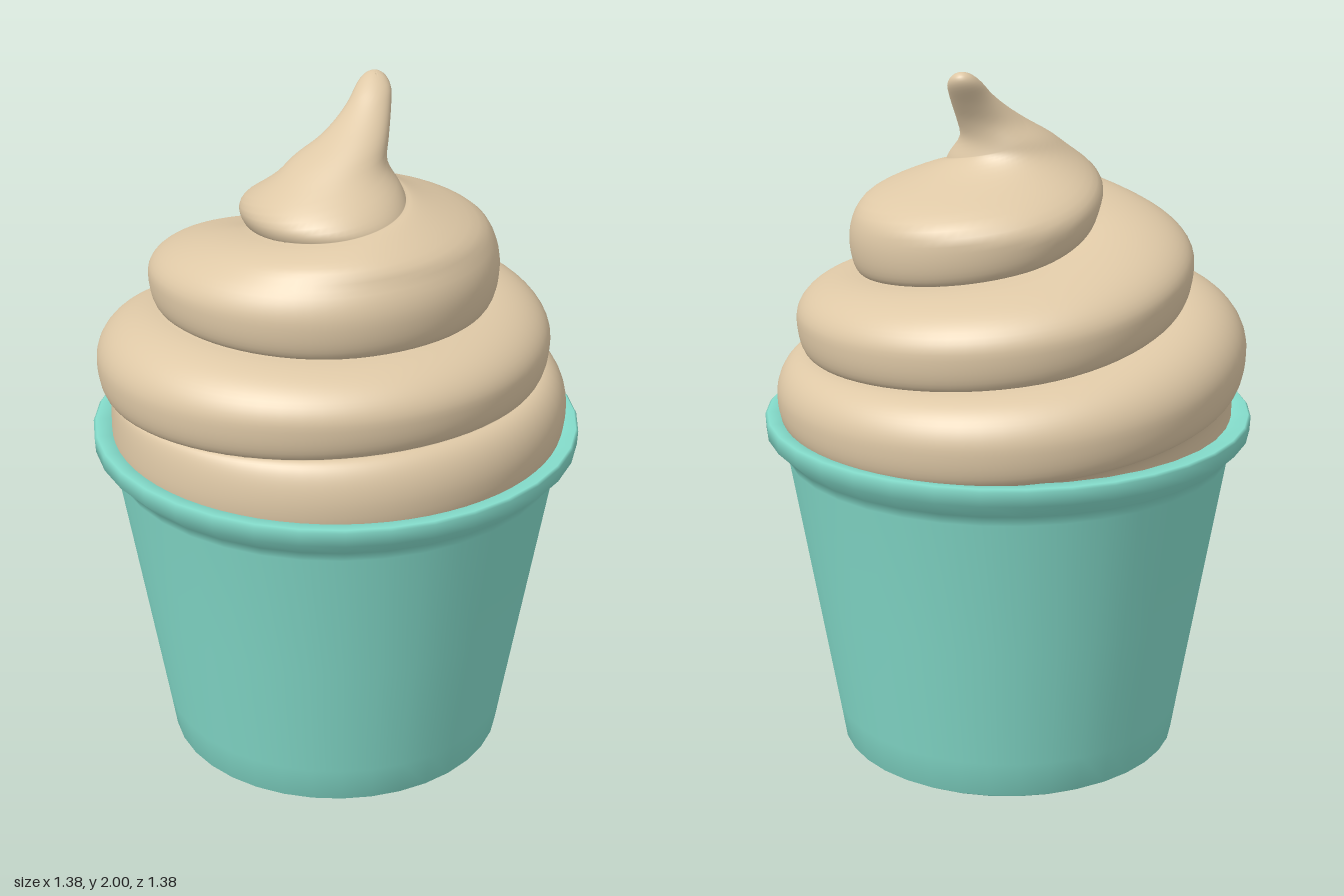
import * as THREE from 'three';

// Smooth value at fractional index t of an evenly spaced table
function sample(table, t) {
  const last = table.length - 1;
  t = THREE.MathUtils.clamp(t, 0, last);
  const i = Math.min(Math.floor(t), last - 1), f = t - i;
  const p = (k) => table[THREE.MathUtils.clamp(k, 0, last)];
  const a = p(i - 1), b = p(i), c = p(i + 1), d = p(i + 2);
  return b + 0.5 * f * (c - a + f * (2 * a - 5 * b + 4 * c - d + f * (3 * (b - c) + d - a)));
}

// Spiral tables: one entry per quarter turn, starting one turn below the rim
const CREASE_Y = [
  0.84, 0.86, 0.9, 0.93, 0.97, 0.99, 1.02, 1.13, 1.19, 1.2, 1.25, 1.38, 1.405, 1.42,
  1.49, 1.61, 1.68, 1.73, 1.79, 1.88, 2, 2, 2, 2, 2,
];
const COIL_R = [
  0.58, 0.58, 0.6, 0.64, 0.655, 0.655, 0.68, 0.67, 0.625, 0.595, 0.57, 0.515, 0.485, 0.44,
  0.345, 0.255, 0.28, 0.18, 0.13, 0.09, 0, 0, 0, 0, 0,
];

// Tip tables: every 0.05 from y = 1.6 to y = 2
const TIP_R = [0.3, 0.25, 0.205, 0.17, 0.13, 0.095, 0.07, 0.053, 0.045];
const TIP_X = [0, -0.01, -0.02, -0.015, 0, 0.045, 0.085, 0.115, 0.13];
const TIP_Z = [0, 0.03, 0.065, 0.065, 0.04, 0.015, -0.025, -0.068, -0.105];

// Point on the swirl: q = quarter turns, v = 0..1 from one crease to the next
function swirlPoint(q, v) {
  const undercut = (k) => 0.035 * (1 - THREE.MathUtils.smoothstep(k, 14, 16));
  const y0 = sample(CREASE_Y, q), y1 = sample(CREASE_Y, q + 4);
  const out = sample(COIL_R, q);
  const r0 = out - undercut(q);
  const r1 = sample(COIL_R, q + 4) - undercut(q + 4);
  const mid = y0 + Math.min(0.1, 0.45 * (y1 - y0));
  let y, r;
  if (v < 0.35) {
    const a = (v / 0.35) * Math.PI / 2;
    r = r0 + (out - r0) * Math.sin(a);
    y = mid - (mid - y0) * Math.cos(a);
  } else {
    const a = ((v - 0.35) / 0.65) * Math.PI / 2;
    r = r1 + (out - r1) * Math.cos(a);
    y = mid + (y1 - mid) * Math.sin(a);
  }
  y = Math.min(y, 2);

  // Blend the last coil into the leaning tip
  const t = (y - 1.6) / 0.05;
  let tip = sample(TIP_R, t);
  if (y > 1.95) tip *= Math.sqrt(Math.max(0, 1 - ((y - 1.95) / 0.05) ** 2));
  r = THREE.MathUtils.lerp(r, tip, THREE.MathUtils.smoothstep(y, 1.62, 1.78));
  const angle = q * Math.PI / 2;
  return [sample(TIP_X, t) + r * Math.sin(angle), y, sample(TIP_Z, t) + r * Math.cos(angle)];
}

// One continuous coil; the top edge of each turn is the bottom edge of the next
function swirlGeometry() {
  const perTurn = 72, turns = 5, strips = 24;
  const rows = perTurn * turns;
  const positions = [], index = [];
  for (let i = 0; i <= rows; i++) {
    for (let j = 0; j < strips; j++) positions.push(...swirlPoint((i / perTurn) * 4, j / strips));
  }
  const id = (i, j) => (j === strips ? Math.min(i + perTurn, rows) * strips : i * strips + j);
  for (let i = 0; i < rows; i++) {
    for (let j = 0; j < strips; j++) {
      const a = id(i, j), b = id(i + 1, j), c = id(i + 1, j + 1), d = id(i, j + 1);
      index.push(a, b, c, a, c, d);
    }
  }
  const geometry = new THREE.BufferGeometry();
  geometry.setAttribute('position', new THREE.Float32BufferAttribute(positions, 3));
  geometry.setIndex(index);
  geometry.computeVertexNormals();
  return geometry;
}

export function createModel() {
  const teal = new THREE.MeshStandardMaterial({ color: 0x84dccb });
  teal.name = 'teal';
  const cream = new THREE.MeshStandardMaterial({ color: 0xdec8a6 });
  cream.name = 'cream';

  const model = new THREE.Group();
  model.name = 'softServeCup';

  // Tapered cup with a flared rim that turns inward under the swirl
  const profile = [
    [0, 0.005], [0.34, 0], [0.46, 0.018], [0.488, 0.035], [0.505, 0.14], [0.565, 0.5], [0.632, 0.9],
    [0.645, 0.93], [0.69, 0.975], [0.692, 1.015], [0.685, 1.022], [0.64, 1.02], [0.6, 0.98],
  ].map(([x, y]) => new THREE.Vector2(x, y));
  const cup = new THREE.Mesh(new THREE.LatheGeometry(profile, 36), teal);
  cup.name = 'cup';
  model.add(cup);

  // Swirled cream with the bent tip
  const swirl = new THREE.Mesh(swirlGeometry(), cream);
  swirl.name = 'creamSwirl';
  model.add(swirl);

  return model;
}
